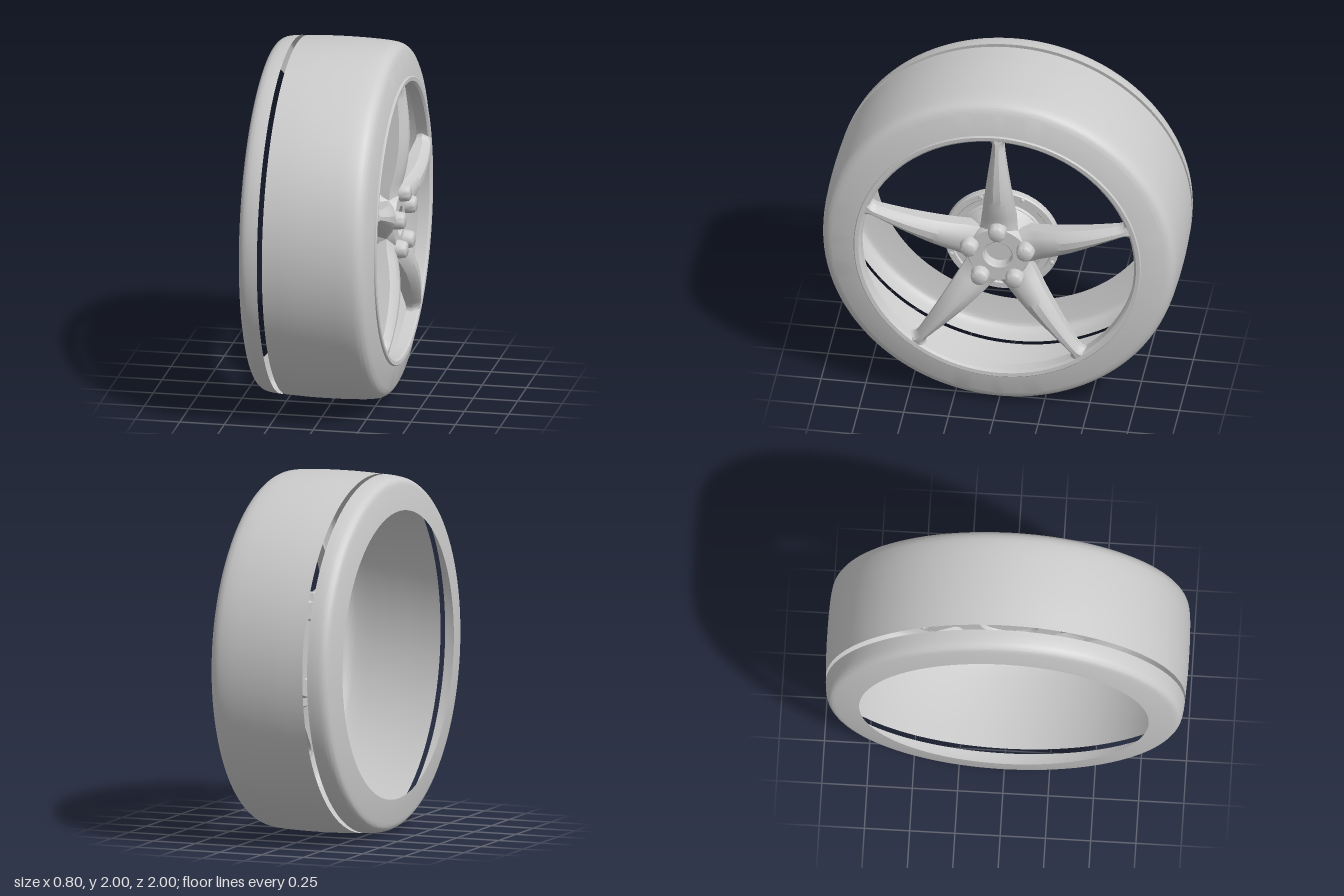
import * as THREE from 'three';
import { toCreasedNormals } from 'three/addons/utils/BufferGeometryUtils.js';

const material = new THREE.MeshStandardMaterial({ color: 0xcccccc, side: THREE.DoubleSide });
const TURN = Math.PI * 2;

// Revolves [radius, x] points around the wheel axis (x)
function revolve(name, points, segments = 96, crease = 0.6) {
  const lathe = new THREE.LatheGeometry(points.map(([r, x]) => new THREE.Vector2(r, x)), segments);
  lathe.rotateZ(-Math.PI / 2);
  const mesh = new THREE.Mesh(toCreasedNormals(lathe, crease), material);
  mesh.name = name;
  return mesh;
}

// Spreads copies of a mesh evenly around the axis
function around(name, mesh, count, start = 0) {
  const group = new THREE.Group();
  group.name = name;
  for (let i = 0; i < count; i++) {
    const copy = mesh.clone();
    copy.rotation.x = start + (i / count) * TURN;
    group.add(copy);
  }
  return group;
}

// Smooths [radius, x] points into a curve
function smooth(points, n) {
  const curve = new THREE.CatmullRomCurve3(points.map(([r, x]) => new THREE.Vector3(r, x, 0)), false, 'centripetal');
  return curve.getPoints(n).map(p => [p.x, p.y]);
}

// Tapered spoke: [radius, half width, front x, back x]
function spokeGeometry() {
  const stations = [
    [0.13, 0.108, 0.342, 0.2], [0.2, 0.099, 0.347, 0.215], [0.3, 0.086, 0.37, 0.24],
    [0.42, 0.071, 0.387, 0.262], [0.55, 0.054, 0.389, 0.277], [0.68, 0.038, 0.378, 0.285],
    [0.73, 0.035, 0.371, 0.288], [0.752, 0.045, 0.367, 0.29], [0.768, 0.07, 0.363, 0.292], [0.785, 0.085, 0.36, 0.292],
  ];
  const shape = new THREE.CatmullRomCurve3(stations.map(([r, w, f]) => new THREE.Vector3(f, r, w)), false, 'centripetal');
  const back = new THREE.CatmullRomCurve3(stations.map(([r, w, , b]) => new THREE.Vector3(b, r, w)), false, 'centripetal');
  const steps = 45, positions = [], index = [];
  let sides = 0;
  for (let i = 0; i <= steps; i++) {
    const { x: front, y: r, z: w } = shape.getPoint(i / steps);
    const rear = back.getPoint(i / steps).x;
    const section = [
      [w, front - 0.045], [0.65 * w, front - 0.014], [0.28 * w, front],
      [-0.28 * w, front], [-0.65 * w, front - 0.014], [-w, front - 0.045],
      [-0.88 * w, rear], [0.88 * w, rear],
    ];
    sides = section.length;
    for (const [z, x] of section) positions.push(x, r, z);
    if (i === steps) break;
    for (let j = 0; j < sides; j++) {
      const a = i * sides + j, b = i * sides + (j + 1) % sides;
      index.push(a, b, b + sides, a, b + sides, a + sides);
    }
  }
  const geometry = new THREE.BufferGeometry();
  geometry.setAttribute('position', new THREE.Float32BufferAttribute(positions, 3));
  geometry.setIndex(index);
  return toCreasedNormals(geometry, 0.45);
}

export function createModel() {
  const model = new THREE.Group();
  model.name = 'wheel';
  const wheel = new THREE.Group();
  wheel.name = 'wheelAssembly';
  wheel.position.y = 1;
  model.add(wheel);

  // Hollow tyre shell, split by a narrow groove near the inner side
  wheel.add(revolve('tyreInnerBand', [
    [0.8, -0.4],
    ...smooth([[0.93, -0.382], [0.96, -0.372], [0.978, -0.35], [0.987, -0.315], [0.992, -0.268]], 16),
  ], 128));
  wheel.add(revolve('tyreTread', [
    ...smooth([[0.993, -0.24], [0.999, -0.1], [1, 0], [0.998, 0.12], [0.991, 0.235], [0.98, 0.285],
      [0.96, 0.312], [0.93, 0.328]], 30),
    [0.8, 0.352],
  ], 128));

  // Rim ring framing the spokes
  wheel.add(revolve('rim', [
    [0.762, 0.29], [0.8, 0.3], [0.802, 0.36], [0.797, 0.365], [0.775, 0.363], [0.763, 0.352], [0.762, 0.29],
  ], 128));

  // Five spokes
  const spoke = new THREE.Mesh(spokeGeometry(), material);
  spoke.name = 'spoke';
  wheel.add(around('spokes', spoke, 5));

  // Hub with its centre bore, flaring back to the mounting disc
  wheel.add(revolve('hub', [
    [0, 0.28], [0.076, 0.28], [0.078, 0.336], [0.084, 0.342], [0.165, 0.342], [0.172, 0.33], [0.19, 0.26], [0.235, 0.195],
  ]));
  wheel.add(revolve('mountingDisc', [
    [0, 0.15], [0.16, 0.15], [0.17, 0.13], [0.26, 0.13], [0.27, 0.15], [0.315, 0.15], [0.323, 0.158],
    [0.323, 0.192], [0.317, 0.2], [0.285, 0.2], [0.278, 0.19], [0.245, 0.19], [0.235, 0.2], [0, 0.2],
  ]));

  // Small disc bolts
  const bolt = revolve('discBolt', [[0.013, 0.19], [0.013, 0.207], [0.009, 0.211], [0, 0.211]], 12);
  bolt.geometry.translate(0, 0.303, 0);
  wheel.add(around('discBolts', bolt, 8, TURN / 16));

  // Rounded wheel nuts, one at the root of each spoke
  const nut = revolve('wheelNut', [
    [0.052, 0.325], [0.052, 0.35], [0.048, 0.378], [0.044, 0.392], [0.036, 0.399], [0, 0.4],
  ], 32, 0.8);
  nut.geometry.translate(0, 0.165, 0);
  wheel.add(around('wheelNuts', nut, 5));

  return model;
}
